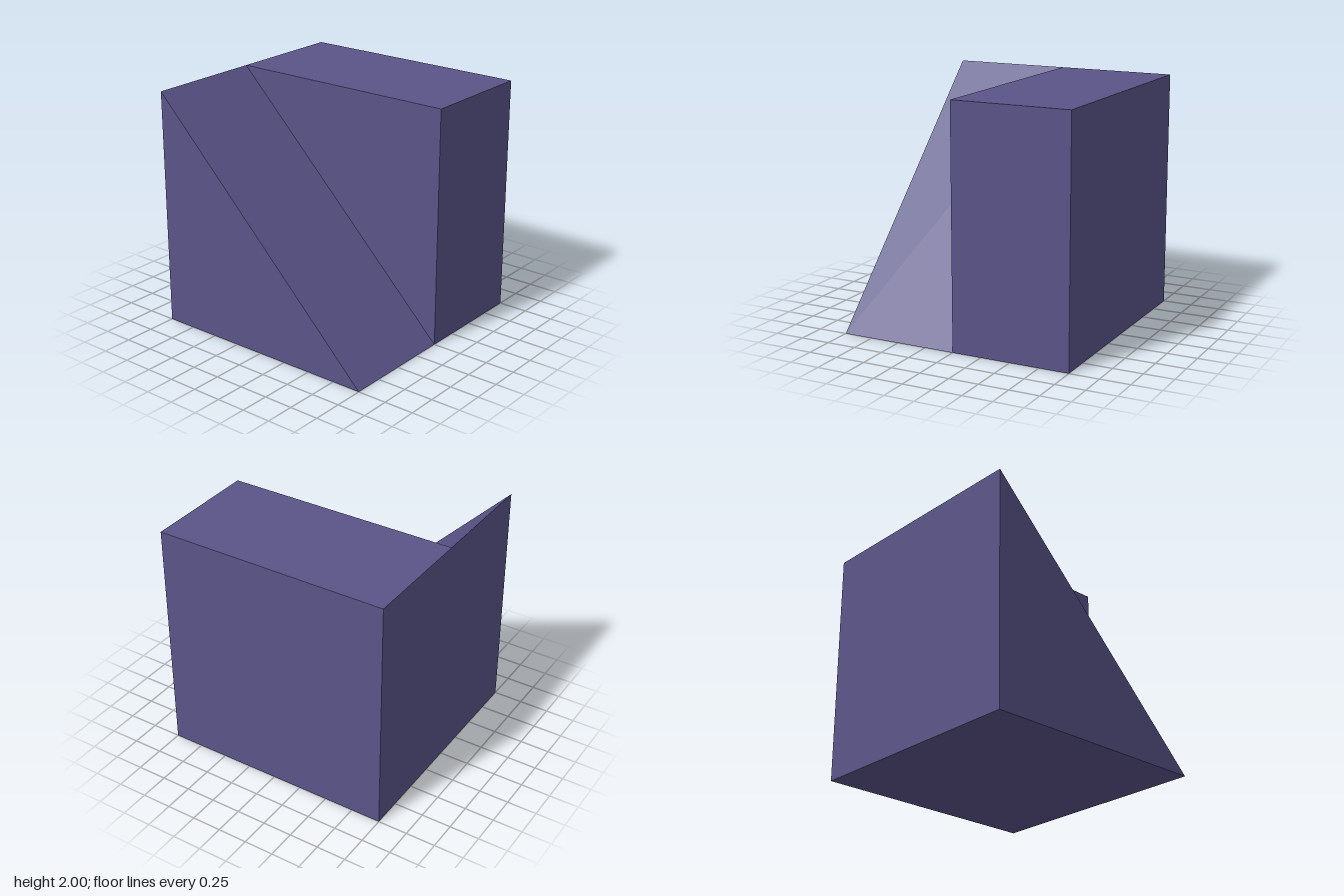
import * as THREE from 'three';

export function createModel() {
  const model = new THREE.Group();
  const purple = new THREE.MeshStandardMaterial({ color: 0x5a5488 });
  purple.name = 'mutedPurple';

  // Full-height block on the +x half
  const block = new THREE.Mesh(new THREE.BoxGeometry(1, 2, 2), purple);
  block.name = 'block';
  block.position.set(0.5, 1, 0);
  model.add(block);

  // Ramp on the -x half, rising from the front bottom edge to the back top edge
  const profile = new THREE.Shape([
    new THREE.Vector2(1, 0),
    new THREE.Vector2(-1, 2),
    new THREE.Vector2(-1, 0),
  ]);
  const rampGeometry = new THREE.ExtrudeGeometry(profile, { depth: 1, bevelEnabled: false });
  rampGeometry.rotateY(-Math.PI / 2); // profile x becomes z, depth runs towards -x
  const ramp = new THREE.Mesh(rampGeometry, purple);
  ramp.name = 'ramp';
  model.add(ramp);

  return model;
}
